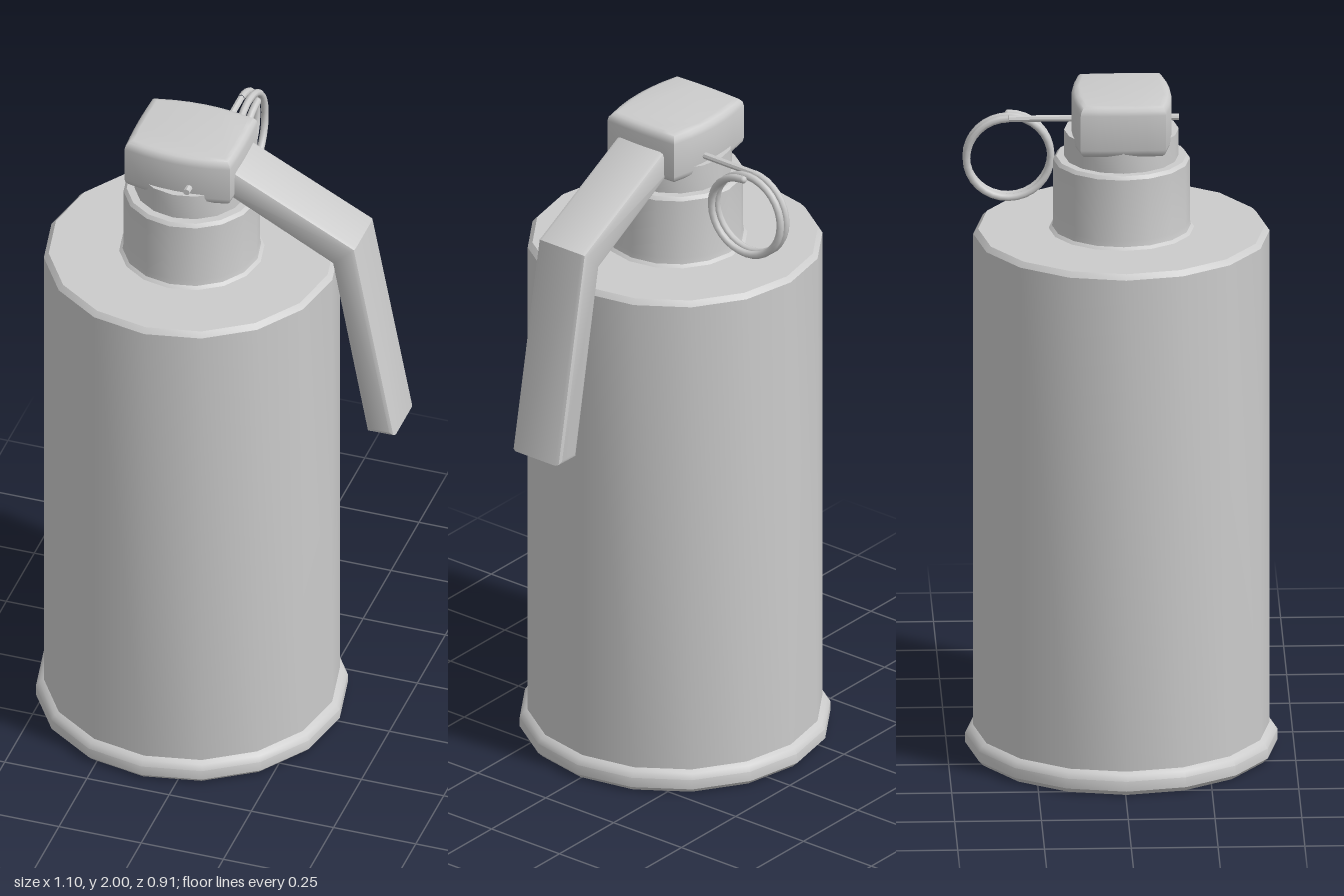
import * as THREE from 'three';
import { toCreasedNormals } from 'three/addons/utils/BufferGeometryUtils.js';

const AXIS_X = -0.1; // the canister axis sits left of the origin

export function createModel() {
  const group = new THREE.Group();
  const material = new THREE.MeshStandardMaterial({ color: 0xcccccc });

  const add = (name, geometry, crease = 0.6) => {
    const mesh = new THREE.Mesh(crease ? toCreasedNormals(geometry, crease) : geometry, material);
    mesh.name = name;
    group.add(mesh);
    return mesh;
  };
  const turned = (name, profile) => {
    const points = profile.map(([r, y]) => new THREE.Vector2(r, y));
    add(name, new THREE.LatheGeometry(points, 16)).position.set(AXIS_X, 0, 0.003);
  };

  // Canister: base rim, straight wall and chamfered shoulder
  turned('body', [
    [0, 0], [0.435, 0], [0.45, 0.015], [0.45, 0.045], [0.44, 0.06], [0.427, 0.068],
    [0.427, 1.565], [0.413, 1.58], [0, 1.58],
  ]);

  // Stepped neck with a small fillet at its foot
  turned('neck', [
    [0.212, 1.578], [0.2, 1.588], [0.197, 1.605], [0.197, 1.79], [0.188, 1.8],
    [0.165, 1.8], [0.165, 1.88], [0, 1.88],
  ]);

  // Fuze head: block with bulging sides and rounded edges
  const x0 = -0.242, x1 = 0.037, zc = 0.105, zb = 0.14;
  const outline = new THREE.Shape();
  outline.moveTo(x0, -zc);
  outline.quadraticCurveTo((x0 + x1) / 2, -zb, x1, -zc);
  outline.quadraticCurveTo(x1 + 0.006, 0, x1, zc);
  outline.quadraticCurveTo((x0 + x1) / 2, zb, x0, zc);
  outline.quadraticCurveTo(x0 - 0.006, 0, x0, -zc);
  const head = new THREE.ExtrudeGeometry(outline, {
    depth: 0.105, bevelThickness: 0.025, bevelSize: 0.022, bevelSegments: 3, curveSegments: 6,
  });
  head.rotateX(-Math.PI / 2);
  add('fuzeHead', head, 0.9).position.set(0, 1.87, 0.003);

  // Bent safety lever
  const side = [
    [0.0, 1.95], [0.055, 1.925], [0.412, 1.742], [0.53, 1.129],
    [0.472, 1.129], [0.367, 1.695], [0.055, 1.862], [0.0, 1.885],
  ].map(([x, y]) => new THREE.Vector2(x, y));
  const lever = new THREE.ExtrudeGeometry(new THREE.Shape(side), {
    depth: 0.146, bevelThickness: 0.014, bevelSize: 0.014, bevelSegments: 2,
  });
  add('safetyLever', lever).position.z = -0.07;

  // Straight pin running through the head
  const pinX = -0.06, pinY = 1.9, ringZ = -0.32, ringR = 0.122;
  const pin = new THREE.CylinderGeometry(0.01, 0.01, 0.17 - ringZ, 8);
  pin.rotateX(Math.PI / 2);
  add('pin', pin, 0.9).position.set(pinX, pinY, (0.17 + ringZ) / 2);

  // Split ring: two turns of wire drifting sideways from the pin's end
  const coil = [];
  for (let i = 0; i <= 48; i++) {
    const a = (i / 48) * Math.PI * 4;
    coil.push(new THREE.Vector3(
      pinX + 0.05 * (i / 48),
      pinY - ringR + ringR * Math.cos(a),
      ringZ - ringR * Math.sin(a),
    ));
  }
  const ring = new THREE.TubeGeometry(new THREE.CatmullRomCurve3(coil), 64, 0.011, 8);
  add('pullRing', ring, 0);
  const cap = new THREE.SphereGeometry(0.011, 8, 6);
  add('ringEnd', cap, 0).position.copy(coil[48]);

  return group;
}
